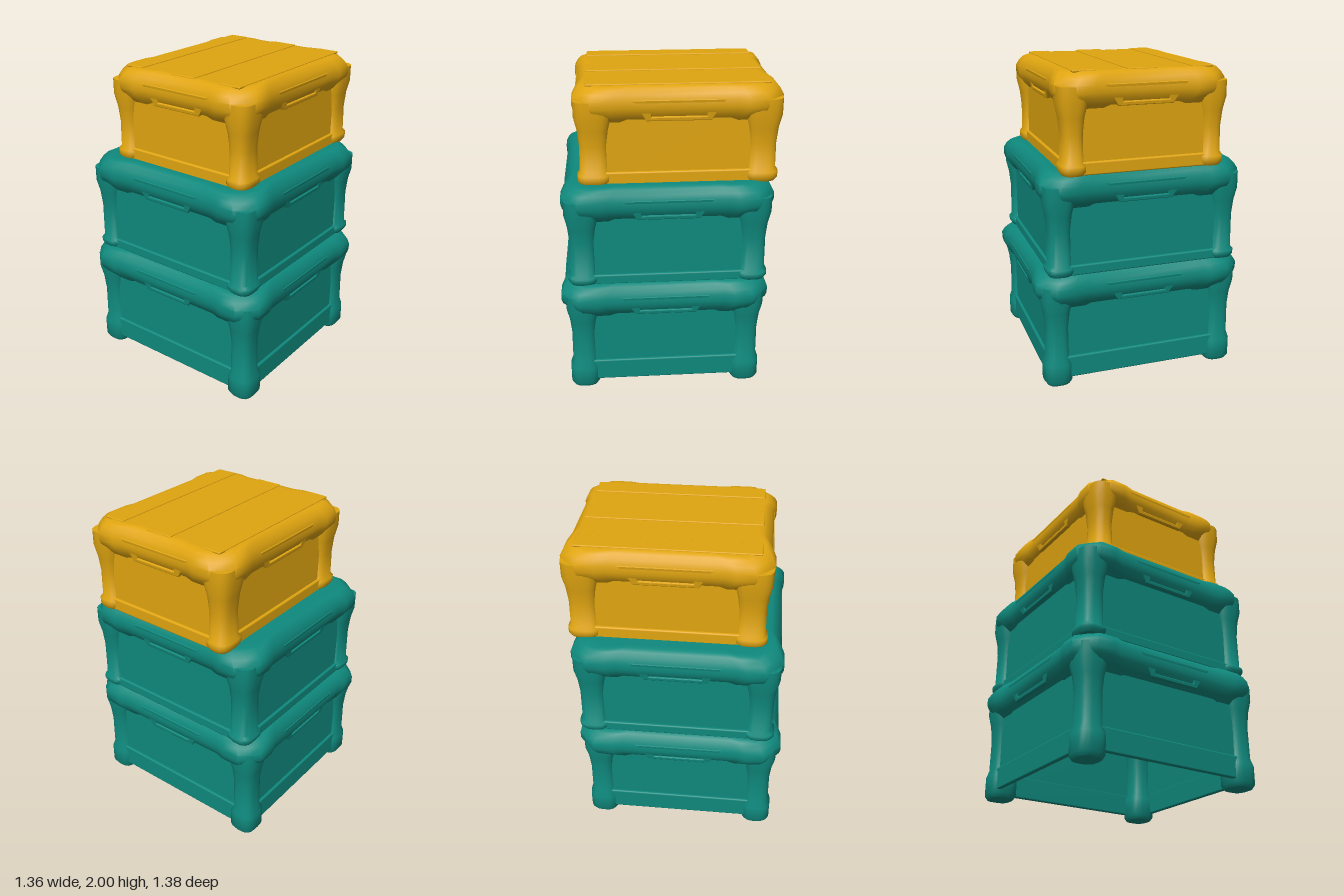
import * as THREE from 'three';
import { toCreasedNormals } from 'three/addons/utils/BufferGeometryUtils.js';
import { RoundedBoxGeometry } from 'three/addons/geometries/RoundedBoxGeometry.js';

const teal = new THREE.MeshStandardMaterial({ color: 0x0f897d, side: THREE.DoubleSide });
teal.name = 'teal plastic';
const yellow = new THREE.MeshStandardMaterial({ color: 0xe0a510, side: THREE.DoubleSide });
yellow.name = 'yellow plastic';

// Skin stacked horizontal rings of [x, y, z], optionally closing the ends
function loft(rings, capBottom, capTop) {
  const n = rings[0].length;
  const pos = rings.flat(2);
  const index = [];
  for (let i = 0; i < rings.length - 1; i++) {
    for (let j = 0; j < n; j++) {
      const a = i * n + j, b = i * n + (j + 1) % n;
      index.push(a, a + n, b, b, a + n, b + n);
    }
  }
  const cap = (i, up) => {
    const c = pos.length / 3;
    pos.push(0, rings[i][0][1], 0);
    for (let j = 0; j < n; j++) {
      const a = i * n + j, b = i * n + (j + 1) % n;
      if (up) index.push(c, b, a); else index.push(c, a, b);
    }
  };
  if (capBottom) cap(0, false);
  if (capTop) cap(rings.length - 1, true);
  const geo = new THREE.BufferGeometry();
  geo.setAttribute('position', new THREE.Float32BufferAttribute(pos, 3));
  geo.setIndex(index);
  return toCreasedNormals(geo, 0.9);
}

// Rounded rectangle ring for the corner posts
function postRing(y, w, d) {
  return Array.from({ length: 24 }, (_, i) => {
    const a = (i / 24) * Math.PI * 2, c = Math.cos(a), s = Math.sin(a);
    const r = 1 / Math.cbrt(Math.abs(c) ** 3 + Math.abs(s) ** 3);
    return [c * r * w, y, s * r * d];
  });
}

// Chamfered rectangle whose corner lugs stand slightly proud of the straight rails
function rimRing(y, hx, hz, off) {
  const X = hx + off, Z = hz + off, cut = 0.11, lug = 0.22, blend = 0.06, step = 0.016;
  const q = [[X - step, Z - lug - blend], [X, Z - lug], [X, Z - cut], [X - cut * 0.47, Z - cut * 0.47],
    [X - cut, Z], [X - lug, Z], [X - lug - blend, Z - step]];
  const flip = [...q].reverse();
  return [
    ...q,
    ...flip.map(([x, z]) => [-x, z]),
    ...q.map(([x, z]) => [-x, -z]),
    ...flip.map(([x, z]) => [x, -z]),
  ].map(([x, z]) => [x, y, z]);
}

// Flared grip surround with a slot through it
function handleGeometry(slot) {
  const s = new THREE.Shape();
  s.moveTo(-slot - 0.02, -0.195);
  s.lineTo(slot + 0.02, -0.195);
  s.lineTo(slot + 0.1, -0.07);
  s.lineTo(-slot - 0.1, -0.07);
  s.closePath();
  const hole = new THREE.Path();
  hole.moveTo(-slot, -0.18);
  hole.lineTo(-slot, -0.085);
  hole.lineTo(slot, -0.085);
  hole.lineTo(slot, -0.18);
  hole.closePath();
  s.holes.push(hole);
  return new THREE.ExtrudeGeometry(s, {
    depth: 0.03, bevelEnabled: true, bevelSize: 0.006, bevelThickness: 0.006, bevelSegments: 2,
  });
}

// post: half width and half depth of a corner post; foot: height of its swollen foot
// and top of the bottom rail; lift: gap under the rail
function makeCrate(name, mat, { h, hx, hz, inset, post, foot, lift }) {
  const crate = new THREE.Group();
  crate.name = name;
  const add = (geo, part, parent = crate) => {
    const m = new THREE.Mesh(geo, mat);
    m.name = part;
    parent.add(m);
    return m;
  };
  const bx = hx - inset, bz = hz - inset;
  const [pw, pd] = post;

  // Corner posts with swollen feet, flaring into the rim
  const postProfile = [[0, 0.002], [0.025, 0.018], [foot * 0.75, 0.018], [foot, 0.002],
    [h - 0.36, 0], [h - 0.26, 0.01], [h - 0.18, 0.028], [h - 0.08, 0.028]];
  const postGeo = loft(postProfile.map(([y, g]) => postRing(y, pw + g, pd + g)), true, true);
  for (const sx of [-1, 1]) for (const sz of [-1, 1]) {
    add(postGeo, 'cornerPost').position.set(sx * (bx - pw), 0, sz * (bz - pd));
  }

  // Rounded rim and closed lid
  const rimProfile = [[-0.23, -0.075], [-0.19, -0.035], [-0.15, -0.008], [-0.12, 0], [-0.075, 0],
    [-0.04, -0.018], [-0.012, -0.042], [0, -0.065], [0, -0.1]];
  add(loft(rimProfile.map(([y, o]) => rimRing(h + y, hx, hz, o)), false, true), 'rimAndLid');

  // Four sides: shallow recessed panel, bottom rail and handle
  for (let k = 0; k < 4; k++) {
    const along = k % 2 ? bz - pd : bx - pw, out = k % 2 ? bx : bz, rim = k % 2 ? hx : hz;
    const side = new THREE.Group();
    side.name = ['frontSide', 'leftSide', 'backSide', 'rightSide'][k];
    side.rotation.y = k * Math.PI / 2;
    crate.add(side);
    const panelH = h - 0.15 - lift;
    add(new THREE.BoxGeometry(2 * along, panelH, 0.012), 'panel', side)
      .position.set(0, lift + 0.005 + panelH / 2, out - 0.03);
    const railH = foot - lift;
    add(new RoundedBoxGeometry(2 * along, railH, 0.03, 3, 0.01), 'bottomRail', side)
      .position.set(0, lift + railH / 2, out - 0.022);
    const handle = add(handleGeometry(k % 2 ? 0.17 : 0.15), 'handle', side);
    handle.position.set(0, h, rim - 0.039);
    handle.rotation.x = 0.15;
  }
  return crate;
}

export function createModel() {
  const model = new THREE.Group();
  model.name = 'stackedCrates';

  const bottom = makeCrate('bottomCrate', teal,
    { h: 0.755, hx: 0.68, hz: 0.66, inset: 0.055, post: [0.073, 0.077], foot: 0.19, lift: 0.045 });
  bottom.position.set(0, 0, 0.03);

  const middle = makeCrate('middleCrate', teal,
    { h: 0.65, hx: 0.65, hz: 0.655, inset: 0.042, post: [0.07, 0.08], foot: 0.065, lift: 0 });
  middle.position.set(-0.005, 0.75, 0.01);

  const top = makeCrate('topCrate', yellow,
    { h: 0.603, hx: 0.535, hz: 0.63, inset: 0.034, post: [0.064, 0.085], foot: 0.08, lift: 0 });
  top.position.set(0.018, 1.39, -0.057);

  // Very low ridges along the top lid
  for (const [x, w] of [[-0.375, 0.13], [0.01, 0.18], [0.365, 0.14]]) {
    const ridge = new THREE.Mesh(new RoundedBoxGeometry(w, 0.014, 1.1, 3, 0.006), yellow);
    ridge.name = 'lidRidge';
    ridge.position.set(x, 0.603, 0);
    top.add(ridge);
  }

  model.add(bottom, middle, top);
  return model;
}
